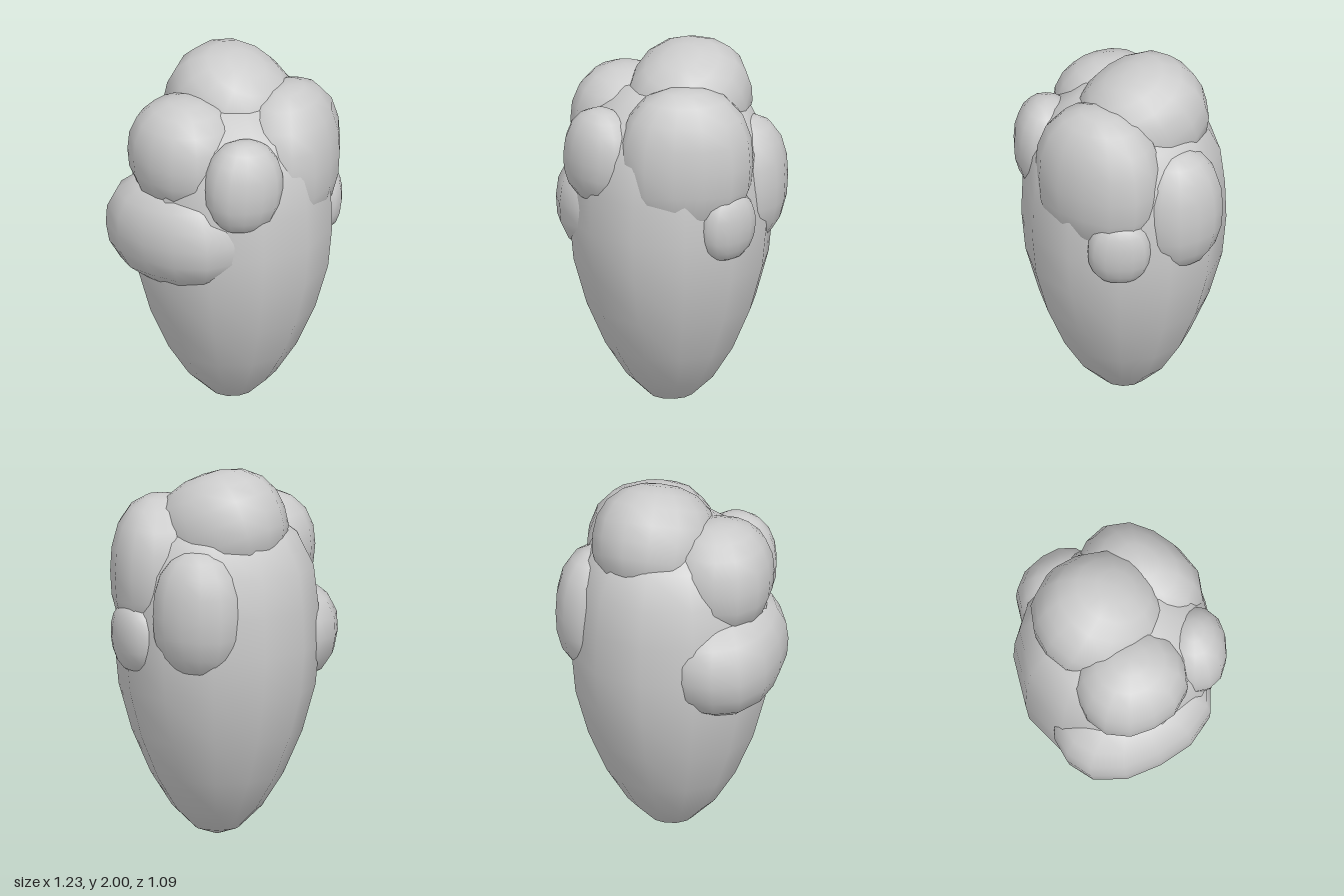
import * as THREE from 'three';
import { mergeVertices } from 'three/addons/utils/BufferGeometryUtils.js';

const material = new THREE.MeshStandardMaterial({ color: 0xcccccc });

// Weld seams so the coarse meshes shade smoothly all round
function smooth(geometry) {
  geometry.deleteAttribute('uv');
  geometry.deleteAttribute('normal');
  const welded = mergeVertices(geometry, 1e-4);
  welded.computeVertexNormals();
  return welded;
}

// Rounded lump: a coarse sphere, swelled towards a box by the exponent
function lump(name, center, radii, exponent, tilt) {
  const geometry = new THREE.SphereGeometry(1, 14, 10);
  const p = geometry.attributes.position;
  const v = new THREE.Vector3();
  for (let i = 0; i < p.count; i++) {
    v.fromBufferAttribute(p, i);
    const sum = Math.abs(v.x) ** exponent + Math.abs(v.y) ** exponent + Math.abs(v.z) ** exponent;
    v.multiplyScalar(sum ** (-1 / exponent));
    p.setXYZ(i, v.x * radii[0], v.y * radii[1], v.z * radii[2]);
  }
  const mesh = new THREE.Mesh(smooth(geometry), material);
  mesh.name = name;
  mesh.position.set(...center);
  mesh.rotation.set(...tilt);
  return mesh;
}

export function createModel() {
  const group = new THREE.Group();
  group.name = 'lumpyCone';

  // Tapered body, pointed at the bottom and domed at the top
  const profile = [
    [0, 0.005], [0.12, 0.045], [0.24, 0.16], [0.355, 0.34], [0.455, 0.57], [0.525, 0.82],
    [0.547, 1.05], [0.54, 1.26], [0.515, 1.47], [0.425, 1.65], [0.25, 1.78], [0, 1.82],
  ].map(([r, y]) => new THREE.Vector2(r, y));
  const body = new THREE.Mesh(smooth(new THREE.LatheGeometry(profile, 12)), material);
  body.name = 'body';
  body.position.x = 0.012;
  group.add(body);

  // Lumps crowding the upper half
  group.add(
    lump('topLump', [0.085, 1.685, -0.075], [0.325, 0.305, 0.35], 2.3, [0.4, 0, 0]),
    lump('frontLargeLump', [0.195, 1.45, 0.24], [0.36, 0.405, 0.265], 2.4, [0, 0.45, 0]),
    lump('frontSmallLump', [-0.26, 1.45, 0.325], [0.215, 0.262, 0.175], 2.3, [0, -0.45, -0.06]),
    lump('rightUpperLump', [-0.28, 1.535, -0.07], [0.28, 0.305, 0.305], 2.35, [0, 0, 0]),
    lump('rightLowerLump', [-0.3, 1.1, -0.07], [0.32, 0.305, 0.44], 2.4, [-0.08, 0, 0]),
    lump('leftUpperLump', [0.39, 1.27, -0.12], [0.22, 0.345, 0.245], 2.4, [0, 0.12, 0]),
    lump('leftLowerLump', [0.435, 1.12, 0.245], [0.11, 0.195, 0.17], 2.3, [0, -0.45, -0.08]),
  );
  return group;
}
